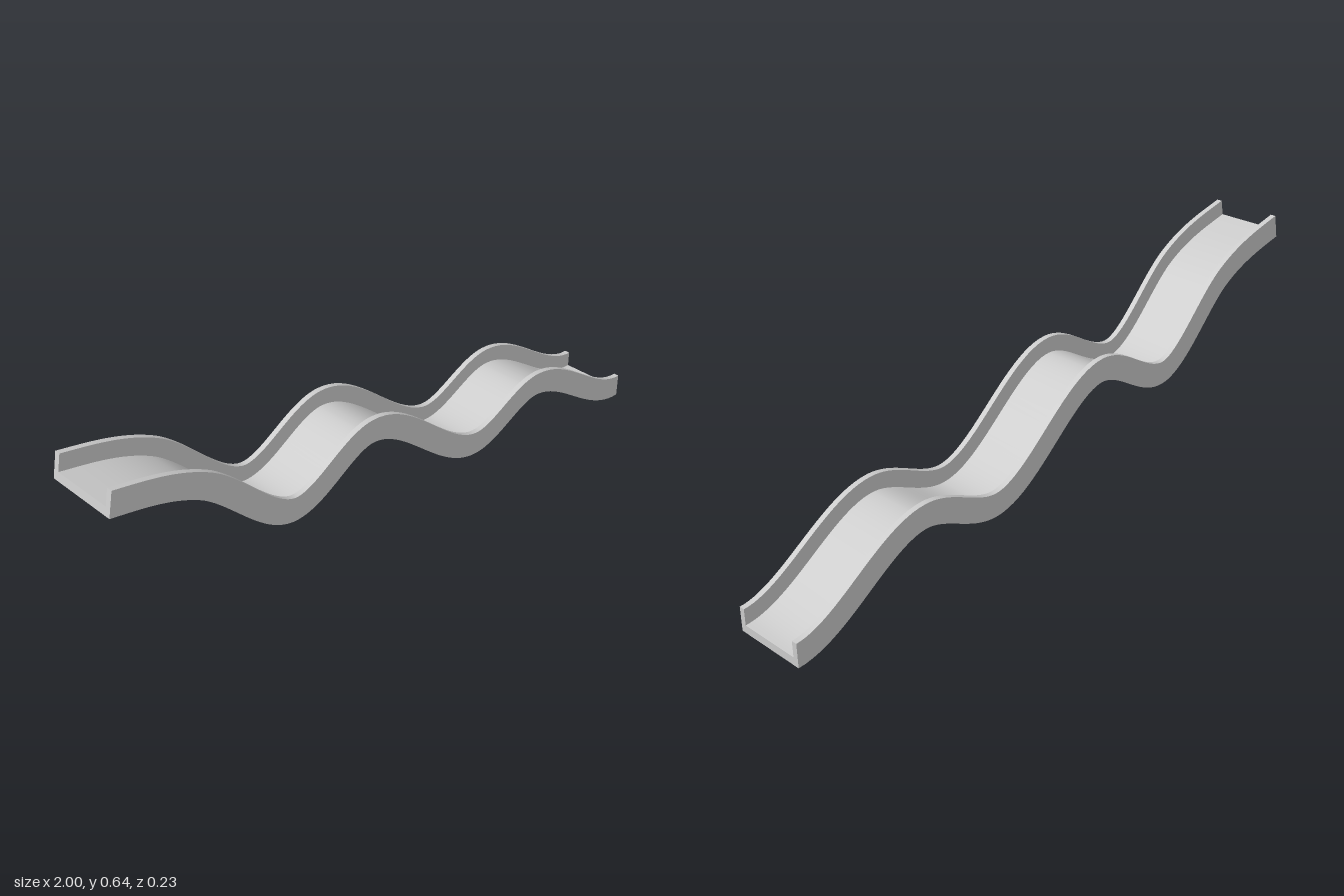
import * as THREE from 'three';

// Centre line of the slide: x, y, slope
const NODES = [
  [-0.993, 0.602, -0.21],
  [-0.72, 0.513, -0.6],
  [-0.425, 0.288, 0],
  [-0.147, 0.4, 0],
  [0.297, 0.15, 0],
  [0.556, 0.235, 0],
  [1, 0.038, 0],
];
const STEPS = 24; // rings per wave segment
const W = 0.113, IN = 0.096, H = 0.0375, FLOOR = -0.0125;

// U-shaped cross-section as [z, height], counter-clockwise seen from +x
const SECTION = [
  [W, -H], [-W, -H], [-W, H], [-IN, H], [-IN, FLOOR], [IN, FLOOR], [IN, H], [W, H],
];

// Rings of section points, each square to the centre line
function makeRings() {
  const path = new THREE.CurvePath();
  for (let i = 0; i < NODES.length - 1; i++) {
    const [x0, y0, s0] = NODES[i], [x1, y1, s1] = NODES[i + 1];
    const d = (x1 - x0) / 3;
    path.add(new THREE.CubicBezierCurve(
      new THREE.Vector2(x0, y0), new THREE.Vector2(x0 + d, y0 + s0 * d),
      new THREE.Vector2(x1 - d, y1 - s1 * d), new THREE.Vector2(x1, y1)));
  }
  const rings = [];
  path.curves.forEach((curve, k) => {
    for (let i = k ? 1 : 0; i <= STEPS; i++) {
      const p = curve.getPoint(i / STEPS), t = curve.getTangent(i / STEPS);
      rings.push(SECTION.map(([z, h]) => [p.x - t.y * h, p.y + t.x * h, z]));
    }
  });
  return rings;
}

function channelGeometry() {
  const rings = makeRings(), pos = [], index = [];
  // One strip per side of the section: smooth along the slide, sharp at its edges
  SECTION.forEach((_, e) => {
    const start = pos.length / 3;
    rings.forEach((ring, i) => {
      pos.push(...ring[e], ...ring[(e + 1) % SECTION.length]);
      if (i === rings.length - 1) return;
      const a = start + i * 2;
      index.push(a, a + 1, a + 2, a + 1, a + 3, a + 2);
    });
  });
  // End caps: floor and both walls
  [[rings[0], true], [rings[rings.length - 1], false]].forEach(([ring, flip]) => {
    [[0, 1, 4, 5], [1, 2, 3, 4], [0, 5, 6, 7]].forEach((quad) => {
      const a = pos.length / 3;
      (flip ? [...quad].reverse() : quad).forEach((j) => pos.push(...ring[j]));
      index.push(a, a + 1, a + 2, a, a + 2, a + 3);
    });
  });
  const geo = new THREE.BufferGeometry();
  geo.setAttribute('position', new THREE.Float32BufferAttribute(pos, 3));
  geo.setIndex(index);
  geo.computeVertexNormals();
  return geo;
}

export function createModel() {
  const group = new THREE.Group();
  group.name = 'wavySlide';
  const channel = new THREE.Mesh(channelGeometry(),
    new THREE.MeshStandardMaterial({ color: 0xcccccc }));
  channel.name = 'slideChannel';
  group.add(channel);
  return group;
}
